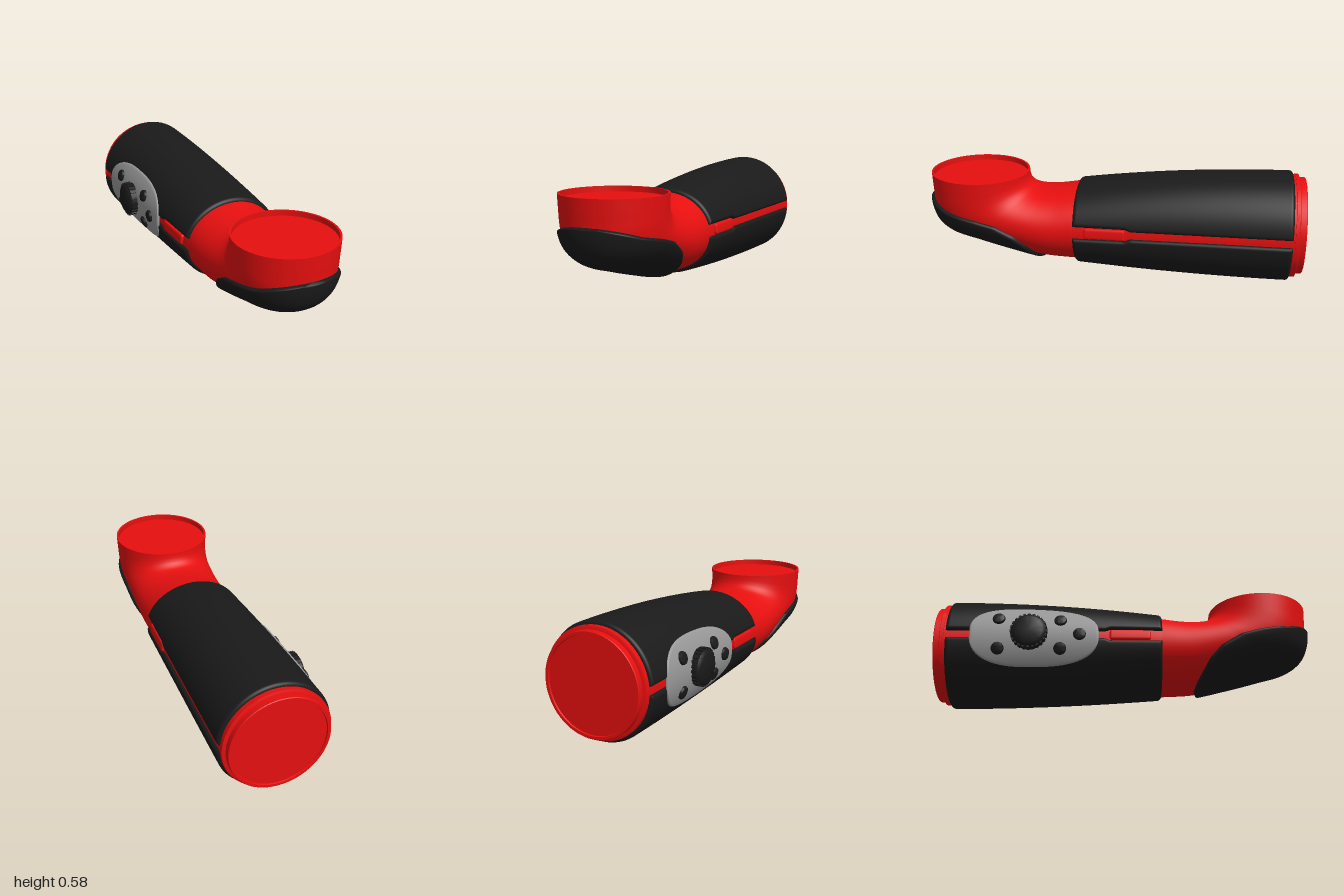
import * as THREE from 'three';
import { mergeVertices, toCreasedNormals } from 'three/addons/utils/BufferGeometryUtils.js';

const CX = 0.02; // axis of the body
const mat = (color) => new THREE.MeshStandardMaterial({ color, side: THREE.DoubleSide });
const red = mat(0xe60f0f), black = mat(0x1a1a1a), grey = mat(0x999999);
const { sin, cos, asin, abs, min, max, sqrt, PI } = Math;

// Smooth surface from a rule fn(u, v) -> [x, y, z], sampled at lists us and vs
function surface(us, vs, fn) {
  const pos = [], idx = [], n = vs.length;
  us.forEach((u, i) => vs.forEach((v, j) => {
    pos.push(...fn(u, v));
    if (i && j) {
      const d = i * n + j, c = d - 1, b = d - n, a = b - 1;
      idx.push(a, c, b, b, c, d);
    }
  }));
  let geo = new THREE.BufferGeometry();
  geo.setAttribute('position', new THREE.Float32BufferAttribute(pos, 3));
  geo.setIndex(idx);
  geo = mergeVertices(geo, 1e-5);
  geo.computeVertexNormals();
  return geo;
}

const steps = (n) => Array.from({ length: n + 1 }, (_, i) => i / n);
// Samples of 0..1 that crowd towards both ends, for rounded rims
const eased = (n) => steps(n).map((t) => (1 - cos(PI * t)) / 2);
// Height of a quarter-round rim at distance d from an edge
const rim = (d, r) => sqrt(max(0, 1 - (1 - min(max(d, 0) / r, 1)) ** 2));

// Grip envelope: an ellipse that swells towards the back
const FRONT = 0.19, BACK = -0.935, T = 0.018;
function envelope(z) {
  const s = (FRONT - z) / (FRONT - BACK), k = 1 - (1 - s) ** 2;
  const top = 0.5 + 0.083 * k, bottom = 0.055 - 0.052 * k;
  return { rx: 0.267 + 0.02 * s, ry: (top - bottom) / 2, yc: (top + bottom) / 2 };
}
function onGrip(z, a, off) {
  const { rx, ry, yc } = envelope(z);
  return [CX + (rx + off) * cos(a), yc + (ry + off) * sin(a), z];
}
const angleAt = (z, y) => {
  const { ry, yc } = envelope(z);
  return asin((y - yc) / ry);
};

// Elbow: ellipses spanning an inner and an outer side curve, from collar to neck
const sideCurve = (pts) => new THREE.CatmullRomCurve3(pts.map(([z, y]) => new THREE.Vector3(0, y, z)));
const inner = sideCurve([[0.46, 0.54], [0.459, 0.525], [0.455, 0.505], [0.445, 0.485], [0.425, 0.468],
  [0.4, 0.46], [0.36, 0.458], [0.29, 0.465], [0.19, 0.482]]);
const outer = sideCurve([[0.985, 0.54], [0.98, 0.44], [0.972, 0.35], [0.94, 0.275], [0.87, 0.22],
  [0.72, 0.175], [0.53, 0.125], [0.36, 0.085], [0.19, 0.073]]);
function onElbow(t, a, off) {
  const I = inner.getPoint(t), O = outer.getPoint(t);
  const C = I.clone().add(O).multiplyScalar(0.5), R = O.clone().sub(C);
  const r = R.length(), w = 0.2625 - 0.0135 * min(1, t * 1.6);
  const n = new THREE.Vector2(cos(a) / r, sin(a) / w).normalize().multiplyScalar(off);
  const p = C.addScaledVector(R, cos(a) + n.x / r);
  return [CX + w * sin(a) + n.y, p.y, p.z];
}

// Upper edge of the cup seen from the side
const cupEdge = [[0.34, 0.05], [0.36, 0.08], [0.4, 0.13], [0.44, 0.19], [0.5, 0.25], [0.6, 0.308],
  [0.7, 0.335], [0.85, 0.365], [0.95, 0.4], [1.02, 0.425]];
function edgeY(z) {
  if (z <= cupEdge[0][0]) return cupEdge[0][1];
  const i = cupEdge.findIndex((p) => p[0] >= z), [z0, y0] = cupEdge[i - 1], [z1, y1] = cupEdge[i];
  return y0 + (y1 - y0) * (z - z0) / (z1 - z0);
}
// Half angle covered by the cup at section t
function cupAngle(t) {
  const above = (a) => { const p = onElbow(t, a, 0); return p[1] > edgeY(p[2]); };
  if (above(0)) return 0;
  let lo = 0, hi = PI;
  for (let i = 0; i < 24; i++) {
    const m = (lo + hi) / 2;
    if (above(m)) hi = m; else lo = m;
  }
  return lo;
}

export function createModel() {
  const model = new THREE.Group();
  const add = (name, geo, material, parent = model) => {
    const mesh = new THREE.Mesh(geo, material);
    mesh.name = name;
    parent.add(mesh);
    return mesh;
  };
  const lathe = (pts, n = 64) =>
    toCreasedNormals(new THREE.LatheGeometry(pts.map((p) => new THREE.Vector2(...p)), n), 0.6);

  // Red inner body and elbow
  add('core', surface(steps(24), steps(64), (u, v) =>
    onGrip(FRONT - u * (FRONT + 0.945), v * 2 * PI, -T)), red);
  add('elbow', surface(steps(64), steps(64), (t, v) => onElbow(t, v * 2 * PI, 0)), red);

  // Collar rim with a sunken lid
  add('collarLid', lathe([[0.262, 0.53], [0.2625, 0.54], [0.252, 0.54], [0.252, 0.512], [0, 0.512]]), red)
    .position.set(CX, 0, 0.7225);

  // Stepped cap at the back
  const cap = add('backCap', lathe([[0.255, 0.925], [0.262, 0.943], [0.272, 0.945], [0.272, 0.963], [0.262, 0.967],
    [0.255, 0.968], [0.255, 0.997], [0.252, 1], [0.238, 1], [0.236, 0.992], [0, 0.992]]), red);
  cap.rotation.x = -PI / 2;
  cap.position.set(CX, 0.295, 0);

  // Black cup under the elbow
  add('cup', surface(eased(90), eased(56), (u, v) => {
    const t = 0.12 + u * 0.77, A = cupAngle(t), k = 2 * v - 1;
    return onElbow(t, k * A, -0.003 + 0.021 * rim((1 - abs(k)) * A * 0.25, 0.02));
  }), black);

  // Two black grip shells with a slit on each side, wider near the front
  const SLIT = 0.296;
  const gap = (z) => 0.021 + 0.012 * THREE.MathUtils.smoothstep(z, -0.115, -0.08);
  for (const side of [1, -1]) {
    add(side > 0 ? 'upperShell' : 'lowerShell', surface(eased(110), eased(72), (u, v) => {
      const z = FRONT - u * (FRONT - BACK);
      const a0 = angleAt(z, SLIT + side * gap(z)), a1 = side * PI - a0;
      const { ry } = envelope(z);
      const h = min(rim(min(v, 1 - v) * abs(a1 - a0) * ry, 0.018), rim(min(u, 1 - u) * (FRONT - BACK), 0.018));
      return onGrip(z, a0 + (a1 - a0) * v, -T - 0.002 + (T + 0.002) * h);
    }), black);
  }

  // Red latch in the wide part of each slit
  for (const side of [1, -1]) {
    add(side > 0 ? 'leftLatch' : 'rightLatch', surface(eased(24), eased(12), (u, v) => {
      const z = 0.13 - u * 0.215, w = 0.03 * min(1, 0.4 + rim(min(u, 1 - u) * 0.215, 0.03));
      const a = angleAt(z, SLIT + (2 * v - 1) * w);
      const h = min(rim(min(u, 1 - u) * 0.215, 0.008), rim(min(v, 1 - v) * 0.06, 0.008));
      return onGrip(z, side > 0 ? a : PI - a, -T + (T - 0.005) * h);
    }), red);
  }

  // Control panel wrapped onto the right side
  const controls = new THREE.Group();
  controls.name = 'controls';
  model.add(controls);
  const PZ = -0.475, PL = 0.335;
  add('panel', surface(eased(56), eased(36), (u, v) => {
    const k = 2 * u - 1, m = 2 * v - 1;
    const half = 0.64 * max(0, 1 - abs(k) ** 2.6) ** (1 / 2.6);
    const h = min(rim((1 - abs(m)) * half * 0.28, 0.012), rim((1 - abs(k)) * PL, 0.012));
    return onGrip(PZ + k * PL, PI + m * half, -0.006 + 0.013 * h);
  }), grey, controls);

  // Round buttons
  const buttonGeo = lathe([[0.033, -0.01], [0.033, 0.012], [0.03, 0.018], [0.02, 0.022], [0, 0.023]], 24);
  for (const [z, dy] of [[-0.66, 0.08], [-0.66, -0.08], [-0.34, 0.08], [-0.34, -0.08], [-0.24, 0]]) {
    const a = PI - asin(dy / 0.28);
    const button = add('button', buttonGeo, black, controls);
    button.position.set(...onGrip(z, a, 0));
    button.quaternion.setFromUnitVectors(new THREE.Vector3(0, 1, 0), new THREE.Vector3(cos(a), sin(a), 0));
  }

  // Ribbed knob
  const knob = new THREE.Group();
  knob.name = 'knob';
  knob.position.set(-0.25, 0.293, -0.5);
  knob.rotation.z = PI / 2;
  controls.add(knob);
  add('knobBody', lathe([[0.09, 0], [0.09, 0.044], [0.082, 0.052], [0.072, 0.058], [0, 0.059]], 48), black, knob);
  const ribGeo = new THREE.BoxGeometry(0.012, 0.034, 0.014);
  for (let i = 0; i < 24; i++) {
    const a = i * PI / 12;
    const rib = add('knobRib', ribGeo, black, knob);
    rib.position.set(0.09 * cos(a), 0.028, -0.09 * sin(a));
    rib.rotation.y = a;
  }
  return model;
}
